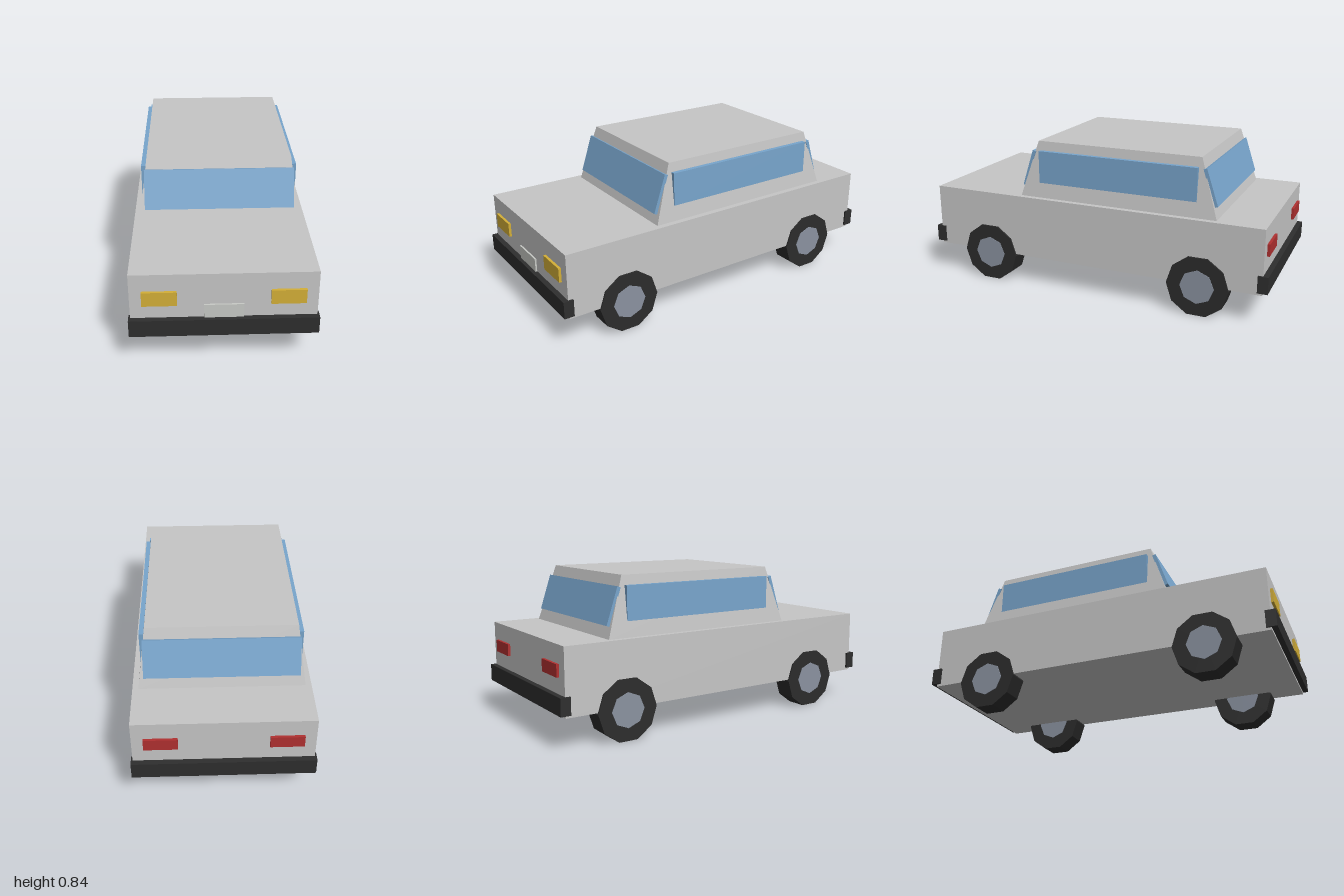
import * as THREE from 'three';

const material = (name, color, flatShading = false) => {
  const m = new THREE.MeshStandardMaterial({ color, flatShading });
  m.name = name;
  return m;
};

export function createModel() {
  const car = new THREE.Group();
  car.name = 'car';

  const paint = material('silver paint', 0xc6c6c6);
  const glass = material('blue glass', 0x78a5cc);
  const black = material('black trim', 0x2e2e2e);
  const rubber = material('tyre rubber', 0x2c2c2c, true);
  const hubMetal = material('hub metal', 0x8a92a0, true);
  const amber = material('headlight yellow', 0xd4af37);
  const red = material('tail light red', 0xb03030);
  const plateGrey = material('plate grey', 0xc8cac6);

  const add = (name, geometry, mat, x, y, z, parent = car) => {
    const mesh = new THREE.Mesh(geometry, mat);
    mesh.name = name;
    mesh.position.set(x, y, z);
    parent.add(mesh);
    return mesh;
  };
  const box = (name, mat, [w, h, d], [x, y, z]) =>
    add(name, new THREE.BoxGeometry(w, h, d), mat, x, y, z);

  // Lower body
  box('body', paint, [0.918, 0.353, 1.942], [0, 0.3475, 0]);

  // Cabin: a box narrowed towards the roof
  const cabin = new THREE.BoxGeometry(0.856, 0.314, 1.14);
  const p = cabin.attributes.position;
  for (let i = 0; i < p.count; i++) {
    if (p.getY(i) > 0) {
      p.setX(i, Math.sign(p.getX(i)) * 0.386);
      p.setZ(i, Math.sign(p.getZ(i)) * 0.471);
    }
  }
  cabin.computeVertexNormals();
  add('cabin', cabin, paint, 0, 0.681, -0.142);

  // Windows: leaning front and rear panes, upright side panes
  box('windshield', glass, [0.8, 0.215, 0.02], [0, 0.68, 0.386]).rotation.x = -0.32;
  box('rearWindow', glass, [0.8, 0.205, 0.02], [0, 0.683, -0.667]).rotation.x = 0.32;
  for (const side of [1, -1]) {
    box('sideWindow', glass, [0.03, 0.187, 0.915], [side * 0.402, 0.693, -0.142]);
  }

  // Bumpers
  for (const end of [1, -1]) {
    box('bumper', black, [0.936, 0.093, 0.055], [0, 0.231, end * 0.9725]);
  }

  // Lights and number plate
  for (const side of [1, -1]) {
    box('headlight', amber, [0.172, 0.078, 0.03], [side * 0.314, 0.392, 0.97]);
    box('tailLight', red, [0.172, 0.066, 0.03], [side * 0.314, 0.396, -0.97]);
  }
  box('numberPlate', plateGrey, [0.195, 0.1, 0.02], [0, 0.302, 0.97]);

  // Wheels: ten-sided tyres with eight-sided hubs showing on both faces
  const tyre = new THREE.CylinderGeometry(0.17, 0.17, 0.114, 10).rotateZ(Math.PI / 2);
  const hub = new THREE.CylinderGeometry(0.094, 0.094, 0.12, 8).rotateZ(Math.PI / 2);
  for (const side of [1, -1]) {
    for (const end of [1, -1]) {
      const wheel = new THREE.Group();
      wheel.name = end > 0 ? 'frontWheel' : 'rearWheel';
      wheel.position.set(side * 0.411, 0.162, end * 0.63);
      add('tyre', tyre, rubber, 0, 0, 0, wheel);
      add('hub', hub, hubMetal, 0, 0, 0, wheel);
      car.add(wheel);
    }
  }
  return car;
}
